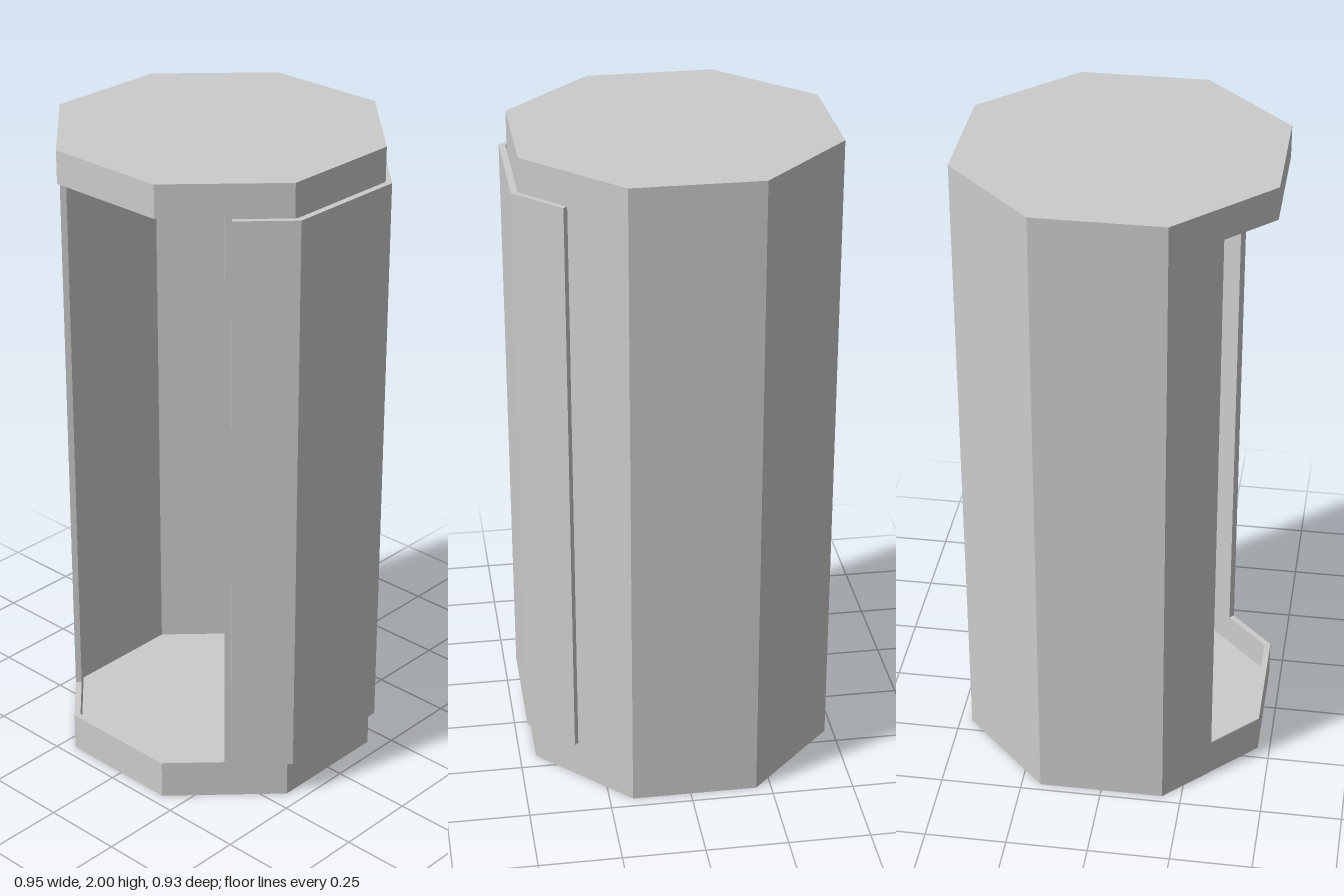
import * as THREE from 'three';

const material = new THREE.MeshStandardMaterial({ color: 0xcccccc, flatShading: true });

const H = 2;              // full height
const A = 0.4625;         // octagon centre to flat side
const T = 0.0185;         // wall thickness
const HALF = A * Math.tan(Math.PI / 8);
const LOW = 0.12, HIGH = 1.9;   // bottom and top of the doorway
const CENTRE_X = -0.0125;

const polygon = (points) => new THREE.Shape(points.map(([x, y]) => new THREE.Vector2(x, y)));
const rect = (x0, x1, y0, y1) => polygon([[x0, y0], [x1, y0], [x1, y1], [x0, y1]]);

function addMesh(group, name, geometry) {
  const mesh = new THREE.Mesh(geometry, material);
  mesh.name = name;
  group.add(mesh);
}

// One side of the octagonal shell, mitred towards its neighbours
function wallPanel(shapes, side) {
  const g = new THREE.ExtrudeGeometry(shapes, { depth: T, bevelEnabled: false });
  g.translate(0, 0, A - T);
  const p = g.attributes.position;
  for (let i = 0; i < p.count; i++) p.setX(i, p.getX(i) * p.getZ(i) / A);
  g.computeVertexNormals();
  return g.rotateY(side * Math.PI / 4);
}

// Plan outline given as [x, -z] pairs, raised from y0 to y1
function plate(points, y0, y1) {
  const g = new THREE.ExtrudeGeometry(polygon(points), { depth: y1 - y0, bevelEnabled: false });
  return g.rotateX(-Math.PI / 2).translate(0, y0, 0);
}

export function createModel() {
  const model = new THREE.Group();
  model.name = 'octagonalCabin';

  const shell = new THREE.Group();
  shell.name = 'shell';
  shell.position.x = CENTRE_X;
  model.add(shell);

  // Front: only the lip and lintel remain; its diagonals are half cut away
  const front = [rect(-HALF, HALF, 0, LOW), rect(-HALF, HALF, HIGH, H)];
  const notched = (s) => polygon([
    [-s * HALF, 0], [s * HALF, 0], [s * HALF, H], [-s * HALF, H],
    [-s * HALF, HIGH], [0, HIGH], [0, LOW], [-s * HALF, LOW],
  ]);
  for (let side = 0; side < 8; side++) {
    const shapes = side === 0 ? front
      : side === 1 ? notched(1)
      : side === 7 ? notched(-1)
      : rect(-HALF, HALF, 0, H);
    const name = side === 0 ? 'doorwayLipAndLintel' : 'wallPanel' + side;
    addMesh(shell, name, wallPanel(shapes, side));
  }

  // Floor and roof inside the walls
  const r = (A - T) / Math.cos(Math.PI / 8);
  const octagon = Array.from({ length: 8 }, (_, i) => {
    const a = (i + 0.5) * Math.PI / 4;
    return [r * Math.cos(a), r * Math.sin(a)];
  });
  addMesh(shell, 'floor', plate(octagon, 0, T));
  addMesh(shell, 'roof', plate(octagon, H - T, H));

  // Folded sliding door, standing open around the left side
  const door = [
    [0.34, -0.325], [0.473, -0.192], [0.473, 0.192], [0.34, 0.325],
    [0.327, 0.312], [0.4535, 0.1855], [0.4535, -0.1855], [0.327, -0.312],
  ];
  addMesh(model, 'slidingDoor', plate(door, LOW, HIGH - 0.003));

  return model;
}
